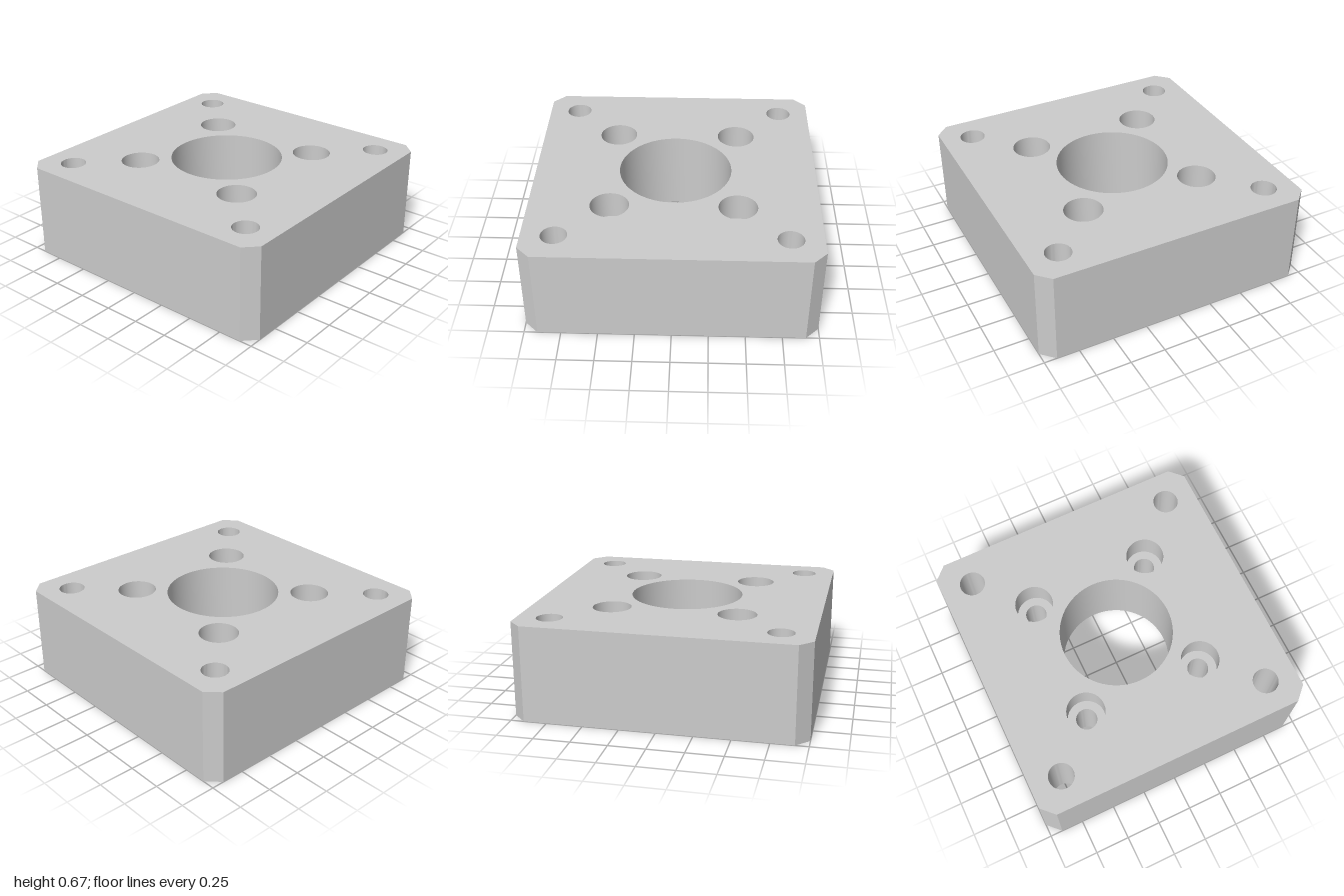
import * as THREE from 'three';
import { toCreasedNormals } from 'three/addons/utils/BufferGeometryUtils.js';

const H = 0.67, CH = 0.09;                     // plate height, corner chamfer
const SCREW = { at: 0.44, r: 0.075, headR: 0.135, headDepth: 0.2 };
const MOUNT = { at: 0.777, r: 0.09 };
const BORE = { r: 0.4, recessR: 0.5, recessDepth: 0.093 };
const CORNERS = [[1, 1], [-1, 1], [-1, -1], [1, -1]];

export function createModel() {
  const group = new THREE.Group();
  const material = new THREE.MeshStandardMaterial({ color: 0xcccccc });
  const add = (name, geometry, x = 0, y = 0, z = 0) => {
    const mesh = new THREE.Mesh(geometry, material);
    mesh.name = name;
    mesh.position.set(x, y, z);
    group.add(mesh);
    return mesh;
  };

  // Chamfered square with all hole openings cut out
  const faceGeometry = (boreR, screwR) => {
    const c = 1 - CH;
    const shape = new THREE.Shape([
      [1, -c], [1, c], [c, 1], [-c, 1], [-1, c], [-1, -c], [-c, -1], [c, -1],
    ].map(([x, y]) => new THREE.Vector2(x, y)));
    const cut = (x, y, r) => shape.holes.push(new THREE.Path().absarc(x, y, r, 0, Math.PI * 2, true));
    cut(0, 0, boreR);
    for (const [sx, sz] of CORNERS) {
      cut(sx * SCREW.at, sz * SCREW.at, screwR);
      cut(sx * MOUNT.at, sz * MOUNT.at, MOUNT.r);
    }
    return new THREE.ShapeGeometry(shape, 32);
  };
  add('topFace', faceGeometry(BORE.r, SCREW.headR).rotateX(-Math.PI / 2), 0, H, 0);
  add('bottomFace', faceGeometry(BORE.recessR, SCREW.r).rotateX(Math.PI / 2));

  // Side walls and corner chamfers
  for (let i = 0; i < 4; i++) {
    const wall = (name, width, distance, angle) => {
      add(name, new THREE.PlaneGeometry(width, H),
        Math.sin(angle) * distance, H / 2, Math.cos(angle) * distance).rotation.y = angle;
    };
    wall('sideWall', 2 - 2 * CH, 1, i * Math.PI / 2);
    wall('cornerChamfer', CH * Math.SQRT2, (2 - CH) / Math.SQRT2, (i + 0.5) * Math.PI / 2);
  }

  // Hole linings: [radius, height] profiles run from top to bottom to face inward
  const lining = (profile) => toCreasedNormals(
    new THREE.LatheGeometry(profile.map(([r, y]) => new THREE.Vector2(r, y)), 64), 0.6);

  // Central bore with a wider recess underneath
  add('centralBore', lining([
    [BORE.r, H], [BORE.r, BORE.recessDepth], [BORE.recessR, BORE.recessDepth], [BORE.recessR, 0],
  ]));

  // Counterbored screw holes and plain corner mounting holes
  const floor = H - SCREW.headDepth;
  const screwHole = lining([[SCREW.headR, H], [SCREW.headR, floor], [SCREW.r, floor], [SCREW.r, 0]]);
  const mountHole = lining([[MOUNT.r, H], [MOUNT.r, 0]]);
  for (const [sx, sz] of CORNERS) {
    add('counterboredScrewHole', screwHole, sx * SCREW.at, 0, sz * SCREW.at);
    add('cornerMountingHole', mountHole, sx * MOUNT.at, 0, sz * MOUNT.at);
  }
  return group;
}
